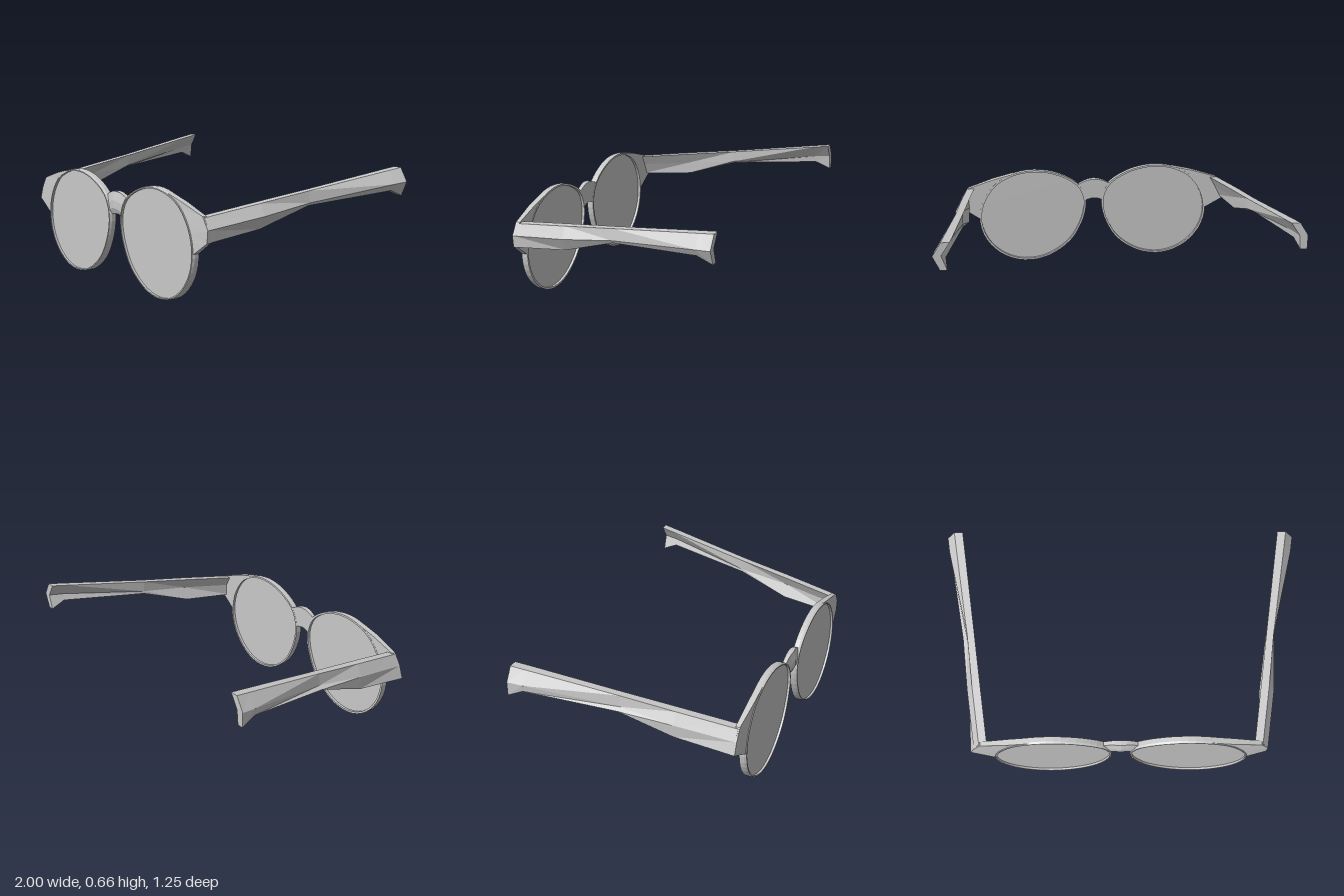
import * as THREE from 'three';

// Skin a series of equal-length rings; faces are turned outward by signed volume.
function loft(rings, loop = false) {
  const pos = [], n = rings[0].length, m = rings.length;
  const quad = (a, b, c, d) => pos.push(...a, ...b, ...c, ...a, ...c, ...d);
  for (let i = 0; i < (loop ? m : m - 1); i++) {
    const p = rings[i], q = rings[(i + 1) % m];
    for (let j = 0; j < n; j++) quad(p[j], p[(j + 1) % n], q[(j + 1) % n], q[j]);
  }
  if (!loop) {
    const a = rings[0], b = rings[m - 1];
    for (let j = 0; j < n / 2 - 1; j++) {
      quad(a[j + 1], a[j], a[n - 1 - j], a[n - 2 - j]);
      quad(b[j], b[j + 1], b[n - 2 - j], b[n - 1 - j]);
    }
  }
  let volume = 0;
  const v = k => new THREE.Vector3(pos[k], pos[k + 1], pos[k + 2]);
  for (let k = 0; k < pos.length; k += 9) volume += v(k).dot(v(k + 3).cross(v(k + 6)));
  if (volume < 0) {
    for (let k = 0; k < pos.length; k += 9) {
      for (let c = 3; c < 6; c++) [pos[k + c], pos[k + c + 3]] = [pos[k + c + 3], pos[k + c]];
    }
  }
  const geo = new THREE.BufferGeometry();
  geo.setAttribute('position', new THREE.Float32BufferAttribute(pos, 3));
  geo.computeVertexNormals();
  return geo;
}

// Outline of one eye
const eye = new THREE.CatmullRomCurve3([
  [0.1, 0.5], [0.225, 0.572], [0.37, 0.6], [0.5, 0.582], [0.605, 0.53], [0.688, 0.42],
  [0.716, 0.3], [0.69, 0.18], [0.615, 0.08], [0.52, 0.022], [0.41, 0.002], [0.28, 0.03],
  [0.145, 0.127], [0.068, 0.265], [0.048, 0.375], [0.062, 0.44]
].map(([x, y]) => new THREE.Vector3(x, y, 0)), true).getSpacedPoints(48).slice(0, 48);

const scaled = (p, s) => [0.382 + (p.x - 0.382) * s, 0.302 + (p.y - 0.302) * s];

// Temple stations: z, top y, top inner x, top outer x, mid x, mid y, bottom y, bottom x (left, right)
const temple = [
  [0.595, 0.497, 0.74, 0.785, 0.82, 0.437, 0.37, 0.813, 0.845],
  [0.27, 0.54, 0.784, 0.83, 0.865, 0.477, 0.405, 0.825, 0.863],
  [-0.03, 0.578, 0.824, 0.865, 0.873, 0.515, 0.5, 0.864, 0.897],
  [-0.54, 0.647, 0.893, 0.941, 0.988, 0.577, 0.54, 0.967, 0.985],
  [-0.625, 0.658, 0.905, 0.953, 1.0, 0.584, 0.503, 0.963, 1.0]
];

export function createModel() {
  const model = new THREE.Group();
  const grey = new THREE.MeshStandardMaterial({ color: 0xc9c9c9 });
  grey.name = 'light grey';
  const add = (name, geo) => {
    const mesh = new THREE.Mesh(geo, grey);
    mesh.name = name;
    model.add(mesh);
  };

  for (const s of [1, -1]) {
    const side = s > 0 ? 'left' : 'right';

    // Rim with a bevelled front edge
    const profile = [[1, 0.577], [1, 0.604], [0.985, 0.617], [0.963, 0.617], [0.963, 0.577]];
    add(side + 'Rim', loft(eye.map(p => profile.map(([k, z]) => {
      const [x, y] = scaled(p, k);
      return [s * x, y, z];
    })), true));

    // Flat lens set inside the rim
    const shape = new THREE.Shape(eye.map(p => {
      const [x, y] = scaled(p, 0.97);
      return new THREE.Vector2(s * x, y);
    }));
    const lens = new THREE.ExtrudeGeometry(shape, { depth: 0.012, bevelEnabled: false });
    add(side + 'Lens', lens.translate(0, 0, 0.592));

    // End piece joining rim to temple, thinning outward and following the rim inside
    const low = s > 0 ? 0.813 : 0.845;
    const outer = [[0.5, 0.582], [0.62, 0.553], [0.778, 0.503], [0.82, 0.437], [low, 0.37], [0.716, 0.3]];
    const inner = [[0.5, 0.572], [0.6, 0.525], [0.658, 0.457], [0.688, 0.4], [0.703, 0.35], [0.709, 0.3]];
    add(side + 'EndPiece', loft(outer.map(([x, y], i) => {
      const [u, v] = inner[i];
      const zo = x > 0.74 ? 0.602 : 0.612;
      return [[s * u, v, 0.613], [s * x, y, zo], [s * x, y, 0.578], [s * u, v, 0.578]];
    })));

    // Temple arm with a chevron section, hollow toward the head
    add(side + 'Temple', loft(temple.map(([z, ty, ti, to, mx, my, by, bl, br]) => {
      const b = s > 0 ? bl : br;
      return [[to, ty], [mx, my], [b, by], [b - 0.038, by], [mx - 0.046, my], [ti, ty]]
        .map(([x, y]) => [s * x, y, z]);
    })));
  }

  // Arched nose bridge, creased forward in the middle, its ends slanting along the rims
  const half = [[1, 0.495, 0.388, 0.612], [0.7, 0.51, 0.393, 0.614], [0.35, 0.521, 0.398, 0.617]];
  const stations = [...half, [0, 0.524, 0.4, 0.621], ...half.map(([k, ...r]) => [-k, ...r]).reverse()];
  add('bridge', loft(stations.map(([k, top, bottom, z]) => [
    [1, 0.578], [1, z - 0.012], [0.6, z], [0.25, z], [0, z - 0.012], [0, 0.578]
  ].map(([h, depth]) => [k * (0.053 + 0.042 * h * h), bottom + (top - bottom) * h, depth]))));
  return model;
}
